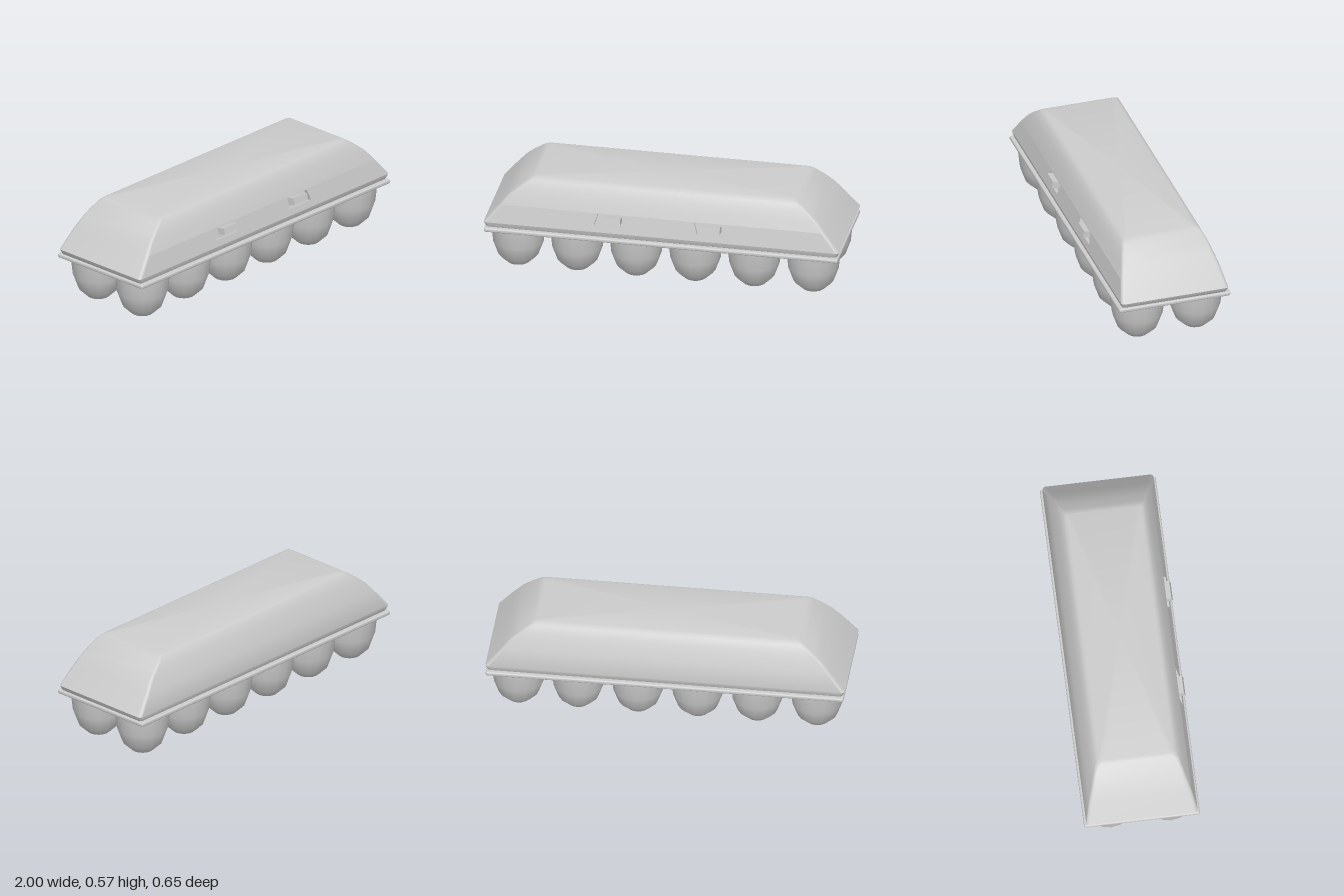
import * as THREE from 'three';
import { toCreasedNormals } from 'three/addons/utils/BufferGeometryUtils.js';
import { RoundedBoxGeometry } from 'three/addons/geometries/RoundedBoxGeometry.js';

const grey = new THREE.MeshStandardMaterial({ color: 0xcccccc });
const greyDouble = new THREE.MeshStandardMaterial({ color: 0xcccccc, side: THREE.DoubleSide });

// Lid cross-sections from bottom to top: [y, half length, half depth]
const LID = [
  [0.27, 0.975, 0.29], [0.277, 0.987, 0.302], [0.29, 0.994, 0.307], [0.305, 1, 0.31],
  [0.41, 0.915, 0.285], [0.47, 0.864, 0.265], [0.51, 0.818, 0.25], [0.55, 0.765, 0.231],
  [0.563, 0.745, 0.217], [0.568, 0.728, 0.203],
];
const PANEL = 3;          // the band whose front is the latch panel
const CORNER = 0.02;      // lid corner radius
const STEPS = 4;          // segments per lid corner

function mesh(name, geometry, material = grey) {
  const m = new THREE.Mesh(geometry, material);
  m.name = name;
  return m;
}

// Rounded-rectangle loops joined into a closed shell, leaving out the latch panel
function lidGeometry() {
  const pos = [], index = [], n = 4 * (STEPS + 1);
  for (const [y, hx, hz] of LID) {
    for (let c = 0; c < 4; c++) {
      const sx = c === 0 || c === 3 ? 1 : -1, sz = c < 2 ? 1 : -1;
      for (let s = 0; s <= STEPS; s++) {
        const a = (c + s / STEPS) * Math.PI / 2;
        pos.push(sx * (hx - CORNER) + CORNER * Math.cos(a), y, sz * (hz - CORNER) + CORNER * Math.sin(a));
      }
    }
  }
  for (let i = 0; i < LID.length - 1; i++) {
    for (let j = 0; j < n; j++) {
      if (i === PANEL && j === STEPS) continue;
      const a = i * n + j, b = i * n + (j + 1) % n;
      index.push(a, a + n, b, b, a + n, b + n);
    }
  }
  // Bottom and top caps
  const top = (LID.length - 1) * n, cb = LID.length * n, ct = cb + 1;
  pos.push(0, LID[0][0], 0, 0, LID[LID.length - 1][0], 0);
  for (let j = 0; j < n; j++) {
    const k = (j + 1) % n;
    index.push(cb, j, k, ct, top + k, top + j);
  }
  const g = new THREE.BufferGeometry();
  g.setAttribute('position', new THREE.Float32BufferAttribute(pos, 3));
  g.setIndex(index);
  return toCreasedNormals(g, 0.6);
}

// Sloping front panel with two slanted windows, each holding a latch tab
function latchPanel() {
  const [y0, x0, z0] = LID[PANEL], [y1, x1, z1] = LID[PANEL + 1];
  const h = Math.hypot(y1 - y0, z0 - z1), depth = 0.022;
  const outline = (pts) => pts.map(([x, y]) => new THREE.Vector2(x, y));
  const shape = new THREE.Shape(outline([
    [-x0 + CORNER, 0], [x0 - CORNER, 0], [x1 - CORNER, h], [-x1 + CORNER, h],
  ]));
  const group = new THREE.Group();
  group.name = 'latchPanel';
  for (const s of [-1, 1]) {
    shape.holes.push(new THREE.Path(outline([
      [s * 0.2, 0.039], [s * 0.38, 0.039], [s * 0.36, 0.103], [s * 0.18, 0.103],
    ])));
    const floor = mesh('latchRecess', new THREE.BoxGeometry(0.24, 0.08, 0.01));
    floor.position.set(s * 0.28, 0.068, -depth - 0.005);
    const tab = mesh('latchTab', new THREE.BoxGeometry(0.105, 0.038, 0.052));
    tab.position.set(s * 0.28, 0.076, 0.001);
    group.add(floor, tab);
  }
  const wall = mesh('lidFront', new THREE.ExtrudeGeometry(shape, { depth, bevelEnabled: false }));
  wall.position.z = -depth;
  group.add(wall);
  group.position.set(0, y0, z0);
  group.rotation.x = -Math.atan2(z0 - z1, y1 - y0);
  return group;
}

export function createModel() {
  const model = new THREE.Group();
  model.name = 'eggCarton';

  const lid = new THREE.Group();
  lid.name = 'lid';
  lid.add(mesh('lidShell', lidGeometry()), latchPanel());
  model.add(lid);

  // Flat rim of the tray
  const rim = mesh('trayRim', new RoundedBoxGeometry(1.99, 0.024, 0.644, 3, 0.009));
  rim.position.y = 0.261;
  model.add(rim);

  // Two rows of six egg cups
  const profile = [[0, 0.002], [0.062, 0.018], [0.112, 0.066], [0.142, 0.15], [0.153, 0.252]]
    .map(([r, y]) => new THREE.Vector2(r, y));
  const cupGeometry = new THREE.LatheGeometry(profile, 16);
  const cups = new THREE.Group();
  cups.name = 'eggCups';
  for (let i = 0; i < 6; i++) {
    for (const s of [-1, 1]) {
      const cup = mesh('eggCup', cupGeometry, greyDouble);
      cup.position.set((i - 2.5) * 0.332, 0, s * 0.167);
      cups.add(cup);
    }
  }
  model.add(cups);
  return model;
}
